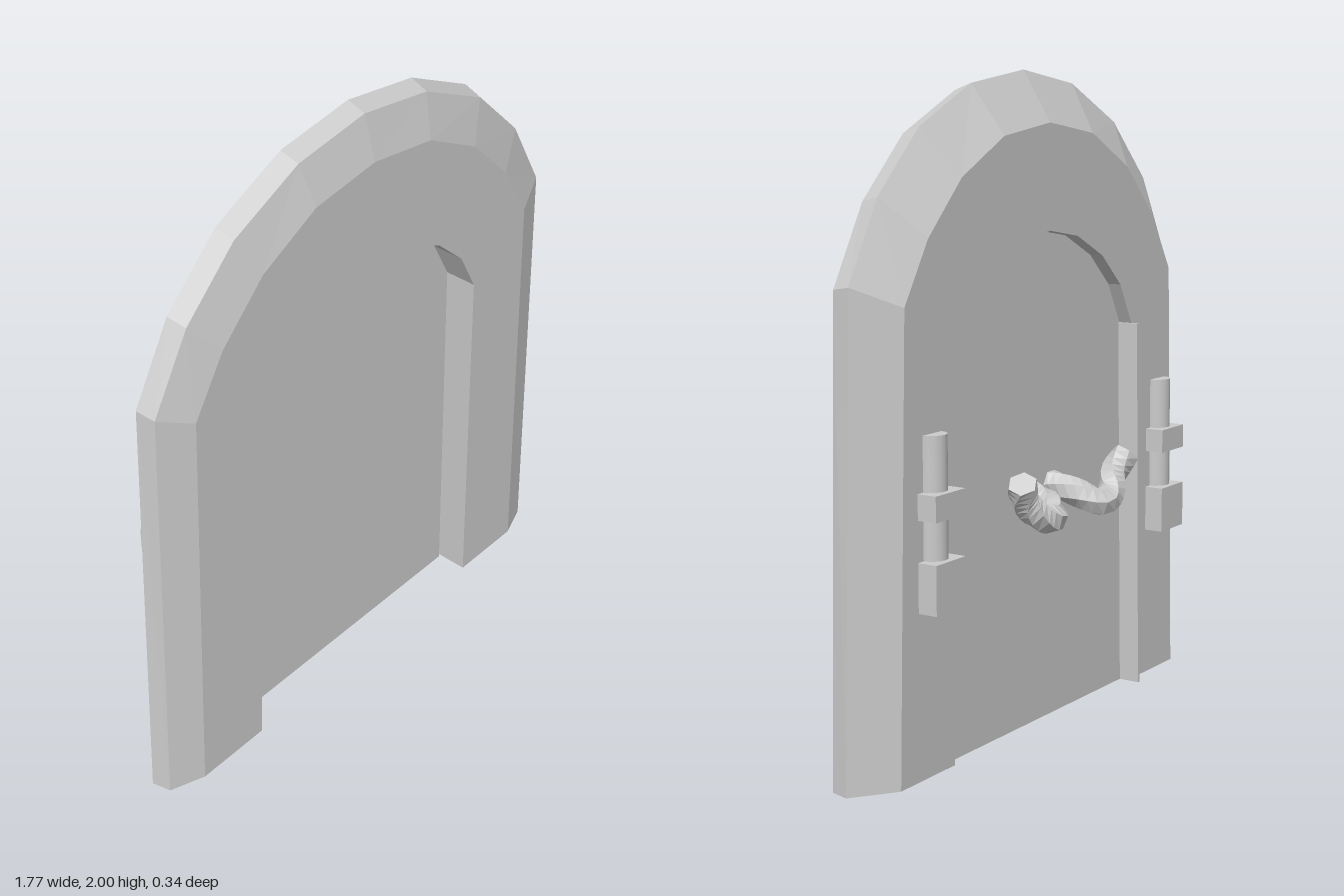
import * as THREE from 'three';

const material = new THREE.MeshStandardMaterial({ color: 0xcccccc, flatShading: true });

// Half outlines, from the base on +x up to the crown
const INNER = [[0.505, 0.01], [0.48, 1.2], [0.41, 1.33], [0.3, 1.43], [0.155, 1.5], [0, 1.525]];
const BEVEL = [[0.76, 0.01], [0.72, 1.36], [0.61, 1.54], [0.45, 1.7], [0.24, 1.81], [0, 1.845]];
const RIM = [[0.87, 0.01], [0.83, 1.41], [0.7, 1.64], [0.515, 1.82], [0.265, 1.94], [0, 1.98]];
const OUTER = [[0.885, 0.01], [0.84, 1.42], [0.71, 1.655], [0.52, 1.84], [0.27, 1.96], [0, 2]];

function addMesh(parent, geometry, name, x = 0, y = 0, z = 0) {
  const mesh = new THREE.Mesh(geometry, material);
  mesh.name = name;
  mesh.position.set(x, y, z);
  parent.add(mesh);
  return mesh;
}

// Mirror a half outline into a full arch at depth z
function archRing(half, z) {
  const mirrored = half.slice(0, -1).reverse().map(([x, y]) => [-x, y]);
  return [...half, ...mirrored].map(([x, y]) => [x, y, z]);
}

function buildGeometry(positions, indices) {
  const geometry = new THREE.BufferGeometry();
  geometry.setAttribute('position', new THREE.Float32BufferAttribute(positions, 3));
  geometry.setIndex(indices);
  geometry.computeVertexNormals();
  return geometry;
}

// Arch surround: stitched rings with closed feet
function surroundGeometry() {
  const rings = [
    archRing(INNER, -0.025), archRing(BEVEL, -0.025), archRing(OUTER, 0.07),
    archRing(RIM, 0.13), archRing(BEVEL, 0.17), archRing(INNER, 0.17),
  ];
  const n = rings[0].length, m = rings.length, indices = [];
  const at = (i, j) => (j % m) * n + i;
  for (let j = 0; j < m; j++) {
    for (let i = 0; i < n - 1; i++) {
      const a = at(i, j), b = at(i + 1, j), c = at(i + 1, j + 1), d = at(i, j + 1);
      indices.push(a, b, c, a, c, d);
    }
  }
  for (let j = 1; j < m - 1; j++) {
    indices.push(at(0, 0), at(0, j), at(0, j + 1));
    indices.push(at(n - 1, 0), at(n - 1, j + 1), at(n - 1, j));
  }
  return buildGeometry(rings.flat(2), indices);
}

// Door leaf: half of the arched opening
function leafGeometry(side) {
  const points = INNER.map(([x, y], i) => new THREE.Vector2(side * x, i ? y : 0));
  const shape = new THREE.Shape([new THREE.Vector2(0, 0), ...points]);
  return new THREE.ExtrudeGeometry(shape, { depth: 0.045, bevelEnabled: false });
}

// Handle: six-sided bar twisted along a curve, with closed ends
function handleGeometry(side) {
  const path = new THREE.CatmullRomCurve3([
    [0.075, 0.74, 0.03], [0.085, 0.72, -0.06], [0.135, 0.685, -0.125],
    [0.2, 0.7, -0.12], [0.25, 0.755, -0.1], [0.295, 0.815, -0.122],
  ].map(([x, y, z]) => new THREE.Vector3(side * x, y, z)));
  const steps = 18, sides = 6, radius = 0.044;
  const frames = path.computeFrenetFrames(steps, false);
  const positions = [], indices = [];
  for (let i = 0; i <= steps; i++) {
    const centre = path.getPointAt(i / steps);
    for (let k = 0; k < sides; k++) {
      const angle = (k / sides) * Math.PI * 2 + side * (i / steps) * 3.5;
      const p = centre.clone()
        .addScaledVector(frames.normals[i], radius * Math.cos(angle))
        .addScaledVector(frames.binormals[i], radius * Math.sin(angle));
      positions.push(p.x, p.y, p.z);
      if (i === steps) continue;
      const a = i * sides + k, b = i * sides + (k + 1) % sides;
      indices.push(a, b, b + sides, a, b + sides, a + sides);
    }
  }
  const end = steps * sides;
  for (let k = 1; k < sides - 1; k++) {
    indices.push(0, k + 1, k, end, end + k, end + k + 1);
  }
  return buildGeometry(positions, indices);
}

// Bracket: upright rod held by a block and a clasp
function createBracket(name, x) {
  const bracket = new THREE.Group();
  bracket.name = name;
  bracket.position.set(x, 0, 0);
  addMesh(bracket, new THREE.BoxGeometry(0.14, 0.145, 0.08), 'bracketBlock', 0, 0.5725, -0.047);
  addMesh(bracket, new THREE.BoxGeometry(0.14, 0.075, 0.08), 'bracketClasp', 0, 0.8025, -0.047);
  const rod = addMesh(bracket, new THREE.CylinderGeometry(0.045, 0.045, 0.42, 16), 'bracketRod', 0, 0.79, -0.023);
  rod.material = new THREE.MeshStandardMaterial({ color: 0xcccccc });
  return bracket;
}

export function createModel() {
  const model = new THREE.Group();
  model.name = 'archedDoor';

  addMesh(model, surroundGeometry(), 'archSurround');

  for (const [side, label] of [[1, 'left'], [-1, 'right']]) {
    addMesh(model, leafGeometry(side), label + 'DoorLeaf', 0, 0, 0.02);
    addMesh(model, handleGeometry(side), label + 'Handle');
  }

  // Thin plate lining one jamb, leaning with the opening
  const plate = addMesh(model, new THREE.BoxGeometry(0.012, 1.2, 0.18), 'jambPlate', -0.492, 0.6, 0.04);
  plate.rotation.z = -0.02;

  model.add(createBracket('leftBracket', 0.6), createBracket('rightBracket', -0.65));
  return model;
}
